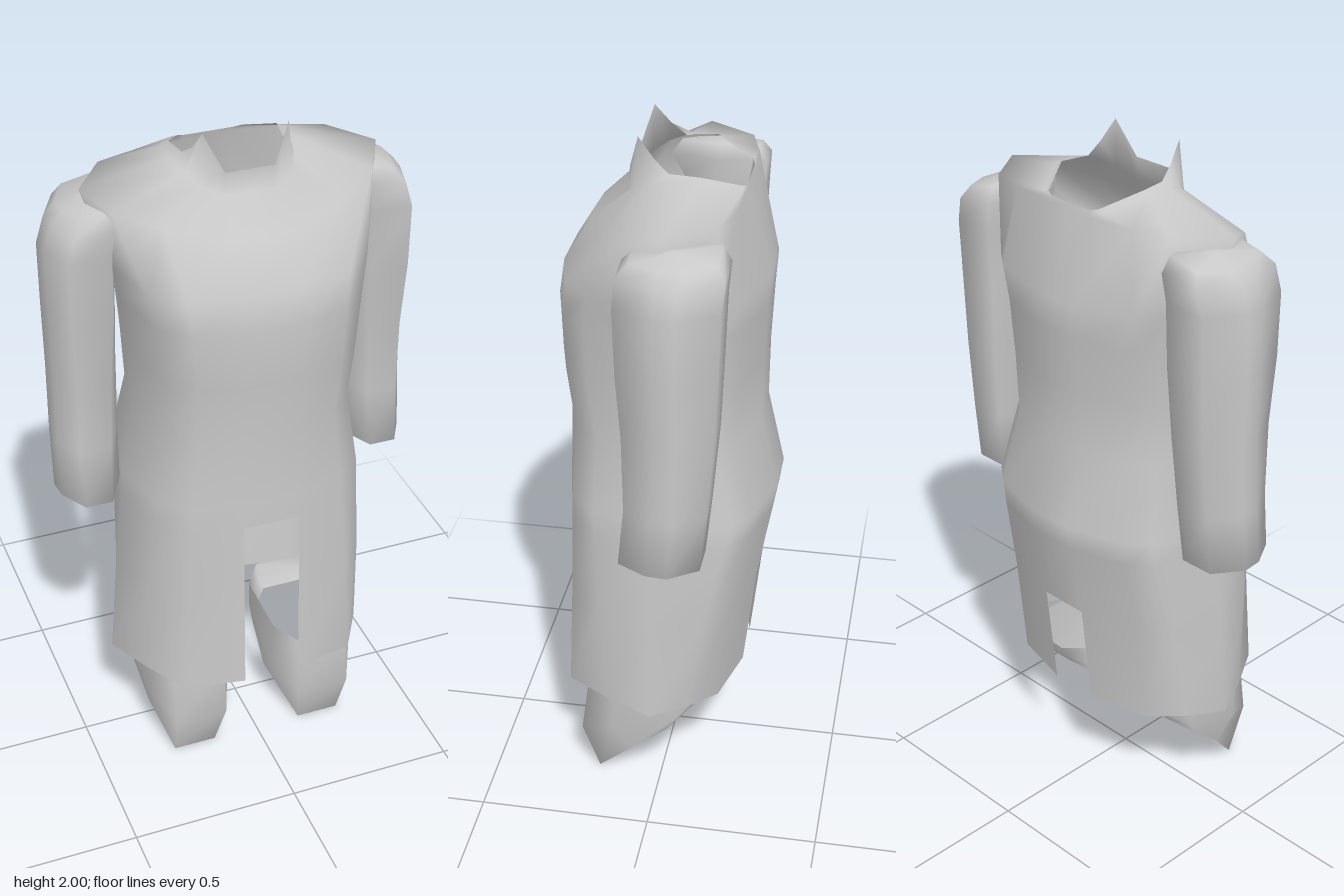
import * as THREE from 'three';

// Skin a stack of closed rings (bottom to top); skip(ring, column) leaves holes
function loft(rings, skip = () => false) {
  const n = rings[0].length;
  const idx = [];
  for (let i = 0; i < rings.length - 1; i++) {
    for (let j = 0; j < n; j++) {
      if (skip(i, j)) continue;
      const a = i * n + j, b = i * n + (j + 1) % n;
      idx.push(a, b, b + n, a, b + n, a + n);
    }
  }
  const g = new THREE.BufferGeometry();
  g.setAttribute('position', new THREE.Float32BufferAttribute(rings.flat(2), 3));
  g.setIndex(idx);
  g.computeVertexNormals();
  return g;
}

const flip = ([x, y, z]) => [-x, y, z];
// Half ring from front centre to back centre, completed on the other side
const fullRing = (half) => [...half, ...half.slice(1, -1).reverse().map(flip)];
// Ring for the opposite limb, keeping the winding outward
const mirrorRing = (ring) => ring.map(flip).reverse();
// Ring shrunk to a point, closing the end of a loft
const tipRing = (ring, point) => ring.map(() => point);

export function createModel() {
  const model = new THREE.Group();
  const cloth = new THREE.MeshStandardMaterial({ color: 0xc8c8c8, side: THREE.DoubleSide });
  cloth.name = 'light grey cloth';
  const add = (name, geometry) => {
    const mesh = new THREE.Mesh(geometry, cloth);
    mesh.name = name;
    model.add(mesh);
  };

  // Coat: y, half width, front z, back z, flatness of the skirt's corners
  const levels = [
    [0.32, 0.405, 0.31, -0.22, 1],
    [0.64, 0.38, 0.3, -0.255, 0.4],
    [0.875, 0.355, 0.295, -0.297, 0.1],
    [0.95, 0.348, 0.293, -0.308, 0],
    [1.17, 0.312, 0.285, -0.258, 0],
    [1.35, 0.322, 0.305, -0.26, 0],
    [1.52, 0.335, 0.31, -0.268, 0],
    [1.62, 0.355, 0.295, -0.275, 0],
  ];
  const coatRings = levels.map(([y, w, f, b, k]) => fullRing([
    [0, y, f], [0.085, y, f], [0.65 * w, y, f - 0.035], [(0.88 - 0.04 * k) * w, y, f - 0.11 - 0.055 * k],
    [w, y, 0.01], [(0.9 - 0.06 * k) * w, y, b + 0.1 + 0.03 * k], [(0.71 - 0.06 * k) * w, y, b + 0.048],
    [0.075, y, b], [0, y, b],
  ]));
  // Shoulder line, collar base and pointed collar edge
  coatRings.push(
    fullRing([
      [0, 1.75, 0.22], [0.085, 1.75, 0.215], [0.25, 1.78, 0.145], [0.37, 1.812, 0.07],
      [0.425, 1.845, -0.03], [0.33, 1.848, -0.165], [0.22, 1.85, -0.195],
      [0.075, 1.85, -0.208], [0, 1.85, -0.208],
    ]),
    fullRing([
      [0, 1.83, 0.117], [0.07, 1.83, 0.117], [0.13, 1.86, 0.09], [0.155, 1.885, 0.045],
      [0.18, 1.902, -0.015], [0.175, 1.9, -0.095], [0.11, 1.87, -0.198],
      [0.072, 1.862, -0.204], [0, 1.862, -0.204],
    ]),
    fullRing([
      [0, 1.895, 0.112], [0.07, 1.895, 0.112], [0.12, 2, 0.08], [0.132, 1.945, 0.035],
      [0.14, 1.91, -0.005], [0.155, 1.912, -0.09], [0.095, 1.872, -0.195],
      [0.07, 1.866, -0.203], [0, 1.866, -0.203],
    ]),
  );
  // Front vent below 0.875, back vent below 0.64
  const vents = (i, j) => (i < 2 && (j === 0 || j === 15)) || (i < 1 && (j === 7 || j === 8));
  add('coat', loft(coatRings, vents));

  // Sleeves: y, outer x, inner x, front z, back z, corner chamfer, rise towards the neck
  const sleeveLevels = [
    [0.905, 0.533, 0.345, 0.078, -0.148, 0.28, 0],
    [1.08, 0.533, 0.34, 0.06, -0.165, 0.26, 0],
    [1.3, 0.53, 0.335, 0.063, -0.183, 0.24, 0],
    [1.5, 0.533, 0.33, 0.075, -0.19, 0.2, 0],
    [1.68, 0.533, 0.33, 0.08, -0.197, 0.2, 0.01],
    [1.75, 0.51, 0.32, 0.077, -0.203, 0.2, 0.02],
    [1.785, 0.475, 0.33, 0.045, -0.18, 0.2, 0.03],
  ];
  const sleeveRings = sleeveLevels.map(([y, o, n, f, b, c, rise]) => {
    const w = o - n, m = (f + b) / 2;
    return [
      [1 - c - 0.02, f], [c, f], [0.03, m + 0.03], [0, m - 0.03],
      [0.3, b], [1.13 - c, b], [1, m],
    ].map(([t, z]) => [o - t * w, y + t * rise, z]);
  });
  // Closed cuff and shoulder cap
  sleeveRings.unshift(tipRing(sleeveRings[0], [0.44, 0.905, -0.035]));
  sleeveRings.push(tipRing(sleeveRings[0], [0.4, 1.815, -0.07]));
  add('leftSleeve', loft(sleeveRings));
  add('rightSleeve', loft(sleeveRings.map(mirrorRing)));

  // Trouser legs: open tubes cut on a slant from toe to heel
  const legRings = [
    [[0.14, 0, 0.19], [0.27, 0, 0.19], [0.315, 0.12, 0.08], [0.33, 0.22, -0.03],
      [0.27, 0.29, -0.11], [0.14, 0.29, -0.11], [0.075, 0.24, -0.05], [0.075, 0.13, 0.06]],
    [[0.12, 0.15, 0.24], [0.28, 0.15, 0.24], [0.325, 0.2, 0.14], [0.335, 0.27, -0.06],
      [0.28, 0.32, -0.13], [0.13, 0.32, -0.13], [0.075, 0.28, -0.07], [0.075, 0.2, 0.13]],
    [[0.12, 0.34, 0.215], [0.28, 0.34, 0.215], [0.335, 0.34, 0.13], [0.335, 0.35, -0.06],
      [0.28, 0.36, -0.14], [0.13, 0.36, -0.15], [0.078, 0.35, -0.08], [0.078, 0.34, 0.13]],
  ];
  add('leftLeg', loft(legRings));
  add('rightLeg', loft(legRings.map(mirrorRing)));

  return model;
}
